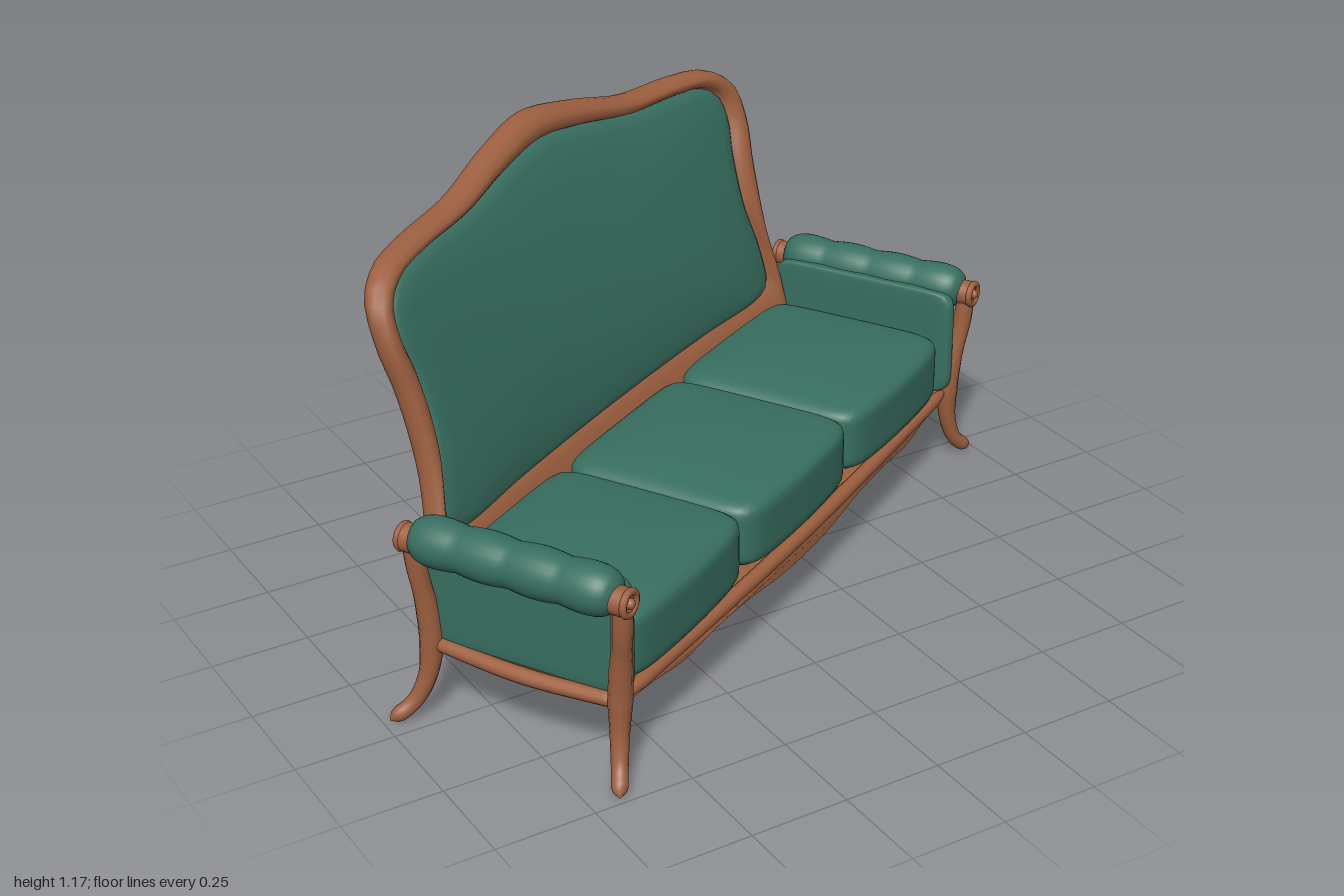
import * as THREE from 'three';
import { mergeVertices } from 'three/addons/utils/BufferGeometryUtils.js';

const wood = new THREE.MeshStandardMaterial({ color: 0x9e6040 });
wood.name = 'wood';
const fabric = new THREE.MeshStandardMaterial({ color: 0x386f60 });
fabric.name = 'fabric';

function add(parent, name, geometry, material, x = 0, y = 0, z = 0) {
  const mesh = new THREE.Mesh(geometry, material);
  mesh.name = name;
  mesh.position.set(x, y, z);
  parent.add(mesh);
  return mesh;
}

// Weld vertices and give smooth normals
function smooth(geometry) {
  geometry.deleteAttribute('uv');
  geometry.deleteAttribute('normal');
  const g = mergeVertices(geometry, 1e-5);
  g.computeVertexNormals();
  return g;
}

// Join closed rings of equal length into a surface
function loft(rings) {
  const n = rings[0].length, pos = [], index = [];
  rings.forEach(r => r.forEach(p => pos.push(...p)));
  for (let j = 0; j < rings.length - 1; j++) {
    for (let i = 0; i < n; i++) {
      const a = j * n + i, b = j * n + (i + 1) % n;
      index.push(a, b, a + n, b, b + n, a + n);
    }
  }
  const g = new THREE.BufferGeometry();
  g.setAttribute('position', new THREE.Float32BufferAttribute(pos, 3));
  g.setIndex(index);
  g.computeVertexNormals();
  return g;
}

// Tube whose radius follows a list of values, closed at both ends
function taperedTube(points, radii) {
  const curve = new THREE.CatmullRomCurve3(points.map(p => new THREE.Vector3(...p)));
  const segs = 40, sides = 12;
  const g = new THREE.TubeGeometry(curve, segs, 1, sides);
  const pos = g.attributes.position, v = new THREE.Vector3();
  for (let i = 0; i <= segs; i++) {
    const t = i / segs, c = curve.getPointAt(t);
    const f = t * (radii.length - 1), k = Math.min(Math.floor(f), radii.length - 2);
    let r = THREE.MathUtils.lerp(radii[k], radii[k + 1], f - k);
    if (i === 0 || i === segs) r = 0.0005;
    else if (i === 1 || i === segs - 1) r *= 0.75;
    for (let j = 0; j <= sides; j++) {
      const id = i * (sides + 1) + j;
      v.fromBufferAttribute(pos, id).sub(c).multiplyScalar(r).add(c);
      pos.setXYZ(id, v.x, v.y, v.z);
    }
  }
  return smooth(g);
}

// Soft box with rounded edges and a crowned top
function pillow(w, h, d, power, crown) {
  const g = new THREE.BoxGeometry(2, 2, 2, 22, 14, 22);
  const pos = g.attributes.position;
  for (let i = 0; i < pos.count; i++) {
    const p = [pos.getX(i), pos.getY(i), pos.getZ(i)];
    const k = 1 / Math.pow(p.reduce((s, c) => s + Math.abs(c) ** power, 0), 1 / power);
    const [x, y, z] = p.map(c => c * k);
    const lift = y > 0 ? crown * y * (1 - x * x) * (1 - z * z) : 0;
    const bow = z > 0 ? 0.015 * z * (1 - x * x) : 0;
    pos.setXYZ(i, x * w / 2, y * h / 2 + lift, z * d / 2 + bow);
  }
  return smooth(g);
}

// Reclined, gently bowed backrest with a serpentine crest
function buildBack(parent) {
  const half = [[0.5, 0.22], [0.8, 0.22], [0.85, 0.25], [0.845, 0.4], [0.81, 0.6], [0.815, 0.8],
    [0.835, 0.92], [0.82, 1.02], [0.75, 1.07], [0.62, 1.09], [0.4, 1.105], [0.2, 1.15]];
  const pts = [[0, 0.22], ...half, [0, 1.18], ...half.map(([x, y]) => [-x, y]).reverse()];
  const outline = new THREE.CatmullRomCurve3(
    pts.map(([x, y]) => new THREE.Vector3(x, y, 0)), true).getSpacedPoints(128).slice(0, -1);
  const depth = (x, y) => {
    const h = y - 0.22;
    return -0.225 - 0.08 * h - 0.165 * h * h - (0.02 + 0.04 * h) * (1 - (x / 0.83) ** 2);
  };
  // inset: 0 outer edge, 1 panel edge; scale: shrink towards the middle
  const ring = ([inset, scale, dz]) => outline.map(p => {
    const x = p.x * (1 - 0.075 * inset) * scale;
    const yIn = THREE.MathUtils.lerp(p.y, 0.44 + (p.y - 0.22) * 0.703, inset);
    const y = 0.75 + (yIn - 0.75) * scale;
    return [x, y, depth(x, y) + dz];
  });
  add(parent, 'backFrame', loft([
    [0, 0, -0.036], [0, 0.3, -0.036], [0, 0.6, -0.035], [0, 0.85, -0.034], [0, 0.97, -0.03],
    [0, 0.992, -0.022], [0, 1, -0.008], [0, 1, 0.012], [0.12, 1, 0.028], [0.35, 1, 0.037],
    [0.65, 1, 0.034], [0.9, 1, 0.02], [1, 1, 0.004], [1, 0.97, -0.005],
  ].map(ring)), wood);
  add(parent, 'backPanel', loft([
    [1, 1.005, -0.002], [1, 0.995, 0.012], [1, 0.975, 0.021], [1, 0.92, 0.028],
    [1, 0.75, 0.034], [1, 0.5, 0.037], [1, 0.25, 0.038], [1, 0, 0.038],
  ].map(ring)), fabric);
}

// Seat base with a scalloped lower edge
function buildBase(parent) {
  const wave = [[0.87, 0.195], [0.74, 0.19], [0.6, 0.172], [0.46, 0.18], [0.3, 0.176], [0.15, 0.158]];
  const lower = [...wave.map(([x, y]) => [-x, y]), [0, 0.151], ...wave.slice().reverse()];
  const shape = new THREE.Shape();
  shape.moveTo(-0.87, 0.225);
  shape.lineTo(...lower[0]);
  shape.splineThru(lower.slice(1).map(p => new THREE.Vector2(...p)));
  for (let i = 0; i <= 24; i++) shape.lineTo(0.87 - 1.74 * i / 24, 0.225);
  const g = new THREE.ExtrudeGeometry(shape, { depth: 0.51, bevelEnabled: false, curveSegments: 48 });
  g.translate(0, 0, -0.245);
  const pos = g.attributes.position;
  for (let i = 0; i < pos.count; i++) {
    const x = pos.getX(i), z = pos.getZ(i);
    pos.setZ(i, z + Math.sign(z) * 0.018 * (1 - (x / 0.87) ** 2));
  }
  g.computeVertexNormals();
  add(parent, 'seatBase', g, wood);

  // Rounded rails round the top of the base
  const rail = (name, a, m, b) => add(parent, name,
    taperedTube([a, m, b], [0.018, 0.02, 0.018]), wood);
  rail('frontRail', [-0.88, 0.22, 0.265], [0, 0.22, 0.282], [0.88, 0.22, 0.265]);
  rail('backRail', [-0.87, 0.22, -0.24], [0, 0.22, -0.26], [0.87, 0.22, -0.24]);
  for (const s of [1, -1]) {
    rail('sideRail', [s * 0.87, 0.215, -0.24], [s * 0.885, 0.21, 0.01], [s * 0.875, 0.215, 0.265]);
  }
}

// Arm pad, side panel, posts running into curved legs, and scrolls
function buildArm(parent, s) {
  const arm = new THREE.Group();
  arm.name = s > 0 ? 'leftArm' : 'rightArm';
  parent.add(arm);

  add(arm, 'sidePanel', pillow(0.045, 0.3, 0.52, 10, 0), fabric, s * 0.853, 0.375, 0.015);
  const profile = [new THREE.Vector2(0.0005, -0.272)];
  for (let i = 0; i <= 48; i++) {
    const t = i / 48, e = Math.abs(2 * t - 1);
    const lump = 0.055 + 0.006 * Math.abs(Math.sin(t * Math.PI * 4));
    profile.push(new THREE.Vector2(lump * Math.pow(1 - 0.92 * e ** 14, 0.4), -0.27 + 0.54 * t));
  }
  profile.push(new THREE.Vector2(0.0005, 0.272));
  const roll = new THREE.LatheGeometry(profile, 28);
  roll.rotateX(Math.PI / 2);
  add(arm, 'armRoll', smooth(roll), fabric, s * 0.91, 0.516, 0.022);

  const frontPath = [[0.914, 0.52, 0.3], [0.905, 0.42, 0.293], [0.886, 0.31, 0.277], [0.88, 0.22, 0.27],
    [0.888, 0.13, 0.272], [0.912, 0.06, 0.285], [0.955, 0.02, 0.31]];
  const backPath = [[0.912, 0.52, -0.255], [0.9, 0.42, -0.25], [0.882, 0.31, -0.242], [0.875, 0.22, -0.24],
    [0.885, 0.13, -0.248], [0.908, 0.06, -0.275], [0.952, 0.02, -0.315]];
  const radii = [0.024, 0.025, 0.024, 0.028, 0.029, 0.023, 0.02, 0.02];
  for (const [name, path, dir] of [['front', frontPath, 1], ['back', backPath, -1]]) {
    add(arm, name + 'Leg', taperedTube(path.map(([x, y, z]) => [x * s, y, z]), radii), wood);
    const [x, , z] = path[0];
    const disc = new THREE.CylinderGeometry(0.034, 0.034, 0.036, 24);
    disc.rotateX(Math.PI / 2);
    add(arm, name + 'Scroll', disc, wood, s * x, 0.507, z);
    add(arm, name + 'ScrollRim', new THREE.TorusGeometry(0.028, 0.009, 8, 24), wood, s * x, 0.507, z + dir * 0.018);
    add(arm, name + 'ScrollKnob', new THREE.SphereGeometry(0.013, 12, 8), wood, s * x, 0.507, z + dir * 0.02);
  }
}

export function createModel() {
  const model = new THREE.Group();
  model.name = 'settee';
  const sofa = new THREE.Group();
  sofa.name = 'sofa';
  sofa.rotation.y = 0.511; // stands turned from the front
  model.add(sofa);

  buildBase(sofa);
  buildBack(sofa);
  for (const s of [1, -1]) buildArm(sofa, s);

  // Three seat cushions
  for (let i = -1; i <= 1; i++) {
    add(sofa, 'seatCushion', pillow(0.562, 0.18, 0.53, 9, 0.018), fabric, i * 0.559, 0.315, 0.005);
  }
  return model;
}
